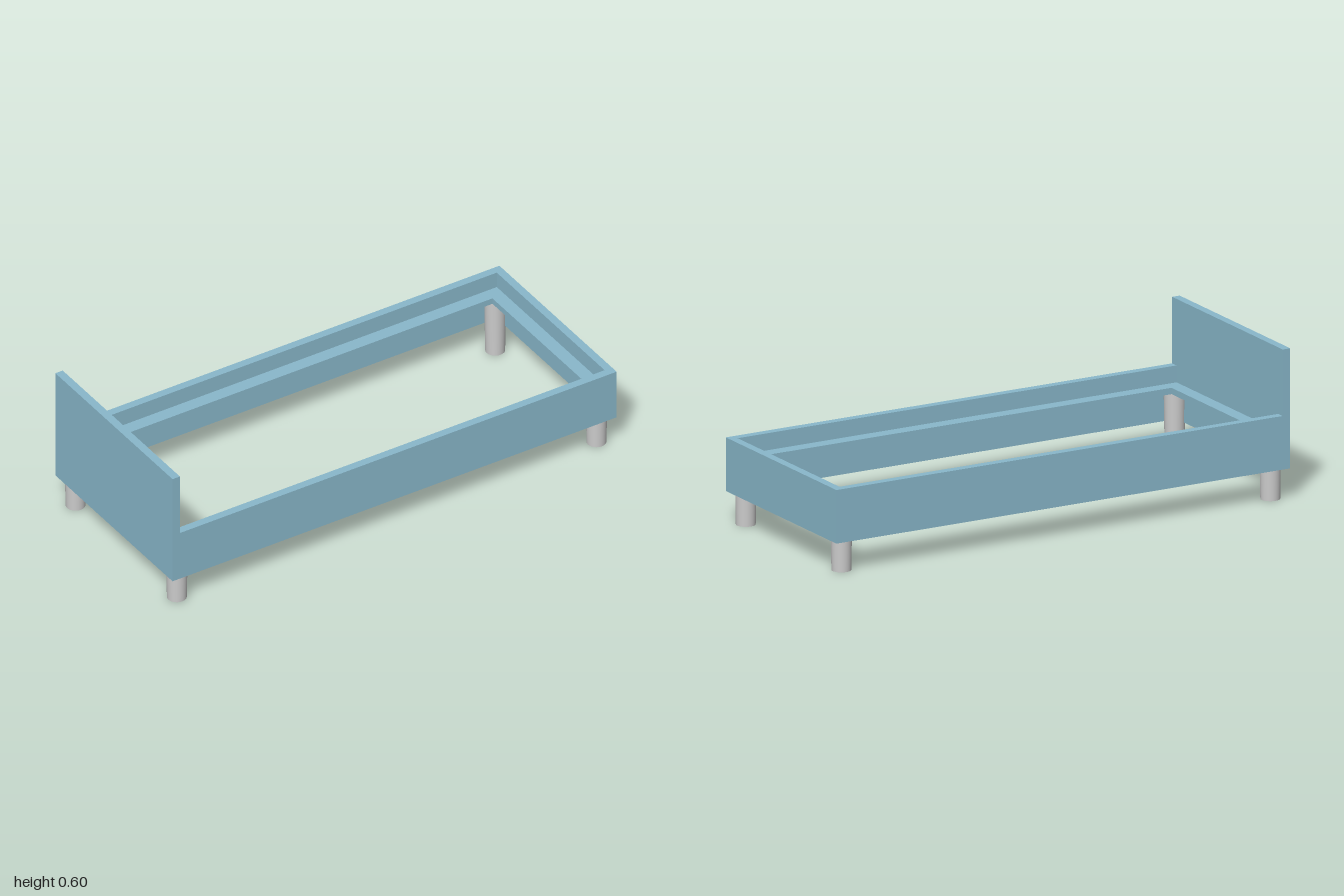
import * as THREE from 'three';

const X = 1, Z = 0.413;            // half length and half width
const BASE = 0.125, RAIL = 0.337, HEAD = 0.6;
const WALL = 0.033;                // board thickness
const LEDGE = 0.054;               // ledge width inside the boards
const LEDGE_LOW = 0.245, LEDGE_TOP = 0.27;

export function createModel() {
  const bed = new THREE.Group();
  bed.name = 'bedFrame';
  const blue = new THREE.MeshStandardMaterial({ color: 0x89b8cb });
  const grey = new THREE.MeshStandardMaterial({ color: 0xcccccc });

  // Box given by its lower and upper corners
  function board(name, x0, x1, y0, y1, z0, z1) {
    const mesh = new THREE.Mesh(new THREE.BoxGeometry(x1 - x0, y1 - y0, z1 - z0), blue);
    mesh.position.set((x0 + x1) / 2, (y0 + y1) / 2, (z0 + z1) / 2);
    mesh.name = name;
    bed.add(mesh);
  }

  // Headboard and footboard
  board('headboard', -X, -X + WALL, BASE, HEAD, -Z, Z);
  board('footboard', X - WALL, X, BASE, RAIL, -Z, Z);

  // Side rails between the end boards
  const ix = X - WALL, iz = Z - WALL;
  board('frontRail', -ix, ix, BASE, RAIL, iz, Z);
  board('backRail', -ix, ix, BASE, RAIL, -Z, -iz);

  // Slat ledge: one rectangular ring inside the boards
  const rectangle = (target, w, d) => {
    target.moveTo(-w, -d);
    target.lineTo(w, -d);
    target.lineTo(w, d);
    target.lineTo(-w, d);
    target.closePath();
    return target;
  };
  const ring = rectangle(new THREE.Shape(), ix, iz);
  ring.holes.push(rectangle(new THREE.Path(), ix - LEDGE, iz - LEDGE));
  const ledgeGeometry = new THREE.ExtrudeGeometry(ring, { depth: LEDGE_TOP - LEDGE_LOW, bevelEnabled: false });
  ledgeGeometry.rotateX(-Math.PI / 2);
  const ledge = new THREE.Mesh(ledgeGeometry, blue);
  ledge.position.y = LEDGE_LOW;
  ledge.name = 'slatLedge';
  bed.add(ledge);

  // Slightly tapered round legs reaching up to the ledge
  const legGeometry = new THREE.CylinderGeometry(0.042, 0.038, LEDGE_LOW, 32);
  for (const sx of [-1, 1]) {
    for (const sz of [-1, 1]) {
      const leg = new THREE.Mesh(legGeometry, grey);
      leg.position.set(sx * 0.945, LEDGE_LOW / 2, sz * 0.357);
      leg.name = (sz > 0 ? 'front' : 'back') + (sx > 0 ? 'Left' : 'Right') + 'Leg';
      bed.add(leg);
    }
  }

  return bed;
}
